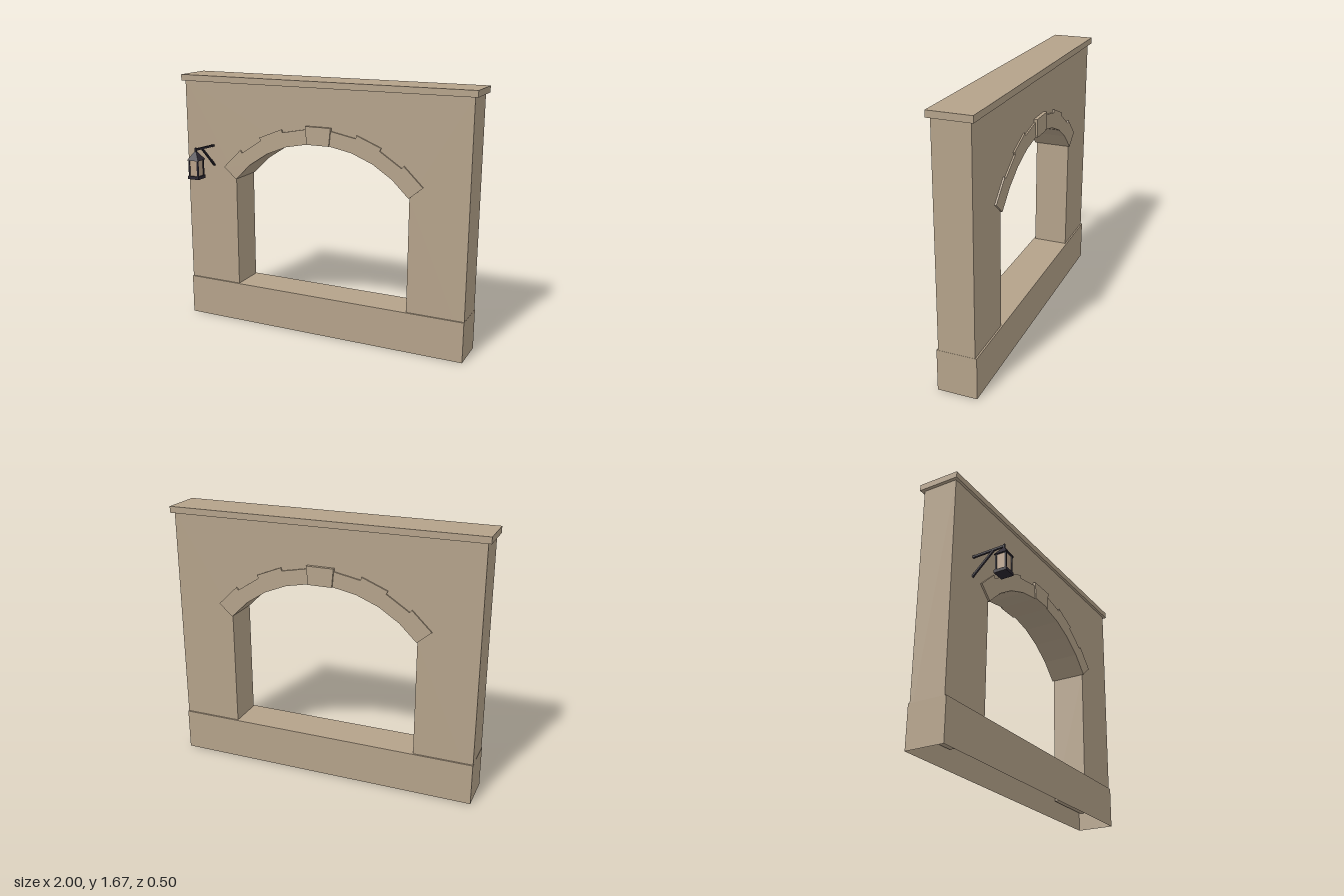
import * as THREE from 'three';

const stone = new THREE.MeshStandardMaterial({ color: 0xb4a28a, side: THREE.DoubleSide });
stone.name = 'sandstone';
const iron = new THREE.MeshStandardMaterial({ color: 0x2c2731 });
iron.name = 'dark iron';
const glass = new THREE.MeshStandardMaterial({ color: 0xb8a088 });
glass.name = 'lantern glass';

// Arch: circle through both springing points and the crown, cut into nine stones
const RADIUS = 0.794, CENTRE_Y = 0.486, STONES = 9;
const HALF = Math.asin(0.605 / RADIUS);
const STEP = (2 * HALF) / STONES;
const polar = (r, a) => new THREE.Vector2(r * Math.sin(a), CENTRE_Y + r * Math.cos(a));

function add(parent, name, geometry, material, x = 0, y = 0, z = 0) {
  const mesh = new THREE.Mesh(geometry, material);
  mesh.name = name;
  mesh.position.set(x, y, z);
  parent.add(mesh);
  return mesh;
}

function box(parent, name, material, x0, x1, y0, y1, z0, z1) {
  return add(parent, name, new THREE.BoxGeometry(x1 - x0, y1 - y0, z1 - z0), material,
    (x0 + x1) / 2, (y0 + y1) / 2, (z0 + z1) / 2);
}

function slab(parent, name, points, z0, z1) {
  const geometry = new THREE.ExtrudeGeometry(new THREE.Shape(points), { depth: z1 - z0, bevelEnabled: false });
  return add(parent, name, geometry, stone, 0, 0, z0);
}

// Square bar running from a to b
function bar(parent, name, a, b, width) {
  const mesh = add(parent, name, new THREE.BoxGeometry(width, width, a.distanceTo(b)), iron);
  mesh.position.copy(a).lerp(b, 0.5);
  mesh.lookAt(b);
  return mesh;
}

function buildLantern() {
  const lantern = new THREE.Group();
  lantern.name = 'lantern';
  const x = -0.775, z = 0.21;

  box(lantern, 'lanternBase', iron, x - 0.041, x + 0.041, 1.03, 1.05, z - 0.041, z + 0.041);
  box(lantern, 'lanternPanes', glass, x - 0.031, x + 0.031, 1.05, 1.152, z - 0.031, z + 0.031);
  for (const sx of [-1, 1]) {
    for (const sz of [-1, 1]) {
      add(lantern, 'lanternPost', new THREE.BoxGeometry(0.01, 0.106, 0.01), iron,
        x + sx * 0.031, 1.101, z + sz * 0.031);
    }
  }

  // Four-sided roof and its finial
  const roof = new THREE.CylinderGeometry(0.01, 0.06, 0.053, 4).toNonIndexed();
  roof.computeVertexNormals();
  roof.rotateY(Math.PI / 4);
  add(lantern, 'lanternRoof', roof, iron, x, 1.1785, z);
  box(lantern, 'lanternFinial', iron, x - 0.006, x + 0.006, 1.2, 1.23, z - 0.006, z + 0.006);

  // Wall bracket
  const at = (y, pz) => new THREE.Vector3(x, y, pz);
  bar(lantern, 'bracketArm', at(1.21, -0.005), at(1.219, 0.215), 0.013);
  bar(lantern, 'bracketBrace', at(1.077, -0.005), at(1.213, 0.138), 0.012);
  return lantern;
}

export function createModel() {
  const model = new THREE.Group();
  model.name = 'archedWall';

  // Wall with a faceted arched opening
  const outline = [
    new THREE.Vector2(-0.605, 0.12), new THREE.Vector2(-0.979, 0.12),
    new THREE.Vector2(-0.979, 1.64), new THREE.Vector2(0.979, 1.64),
    new THREE.Vector2(0.979, 0.12), new THREE.Vector2(0.605, 0.12),
  ];
  for (let i = 0; i <= STONES; i++) outline.push(polar(RADIUS, HALF - i * STEP));
  slab(model, 'wall', outline, -0.23, -0.003);

  // Plinth, hollow and open underneath
  const plinth = box(model, 'plinth', stone, -0.98, 0.98, 0, 0.265, -0.24, 0.007);
  const bottom = plinth.geometry.groups[3];
  const faces = Array.from(plinth.geometry.index.array);
  faces.splice(bottom.start, bottom.count);
  plinth.geometry.setIndex(faces);
  plinth.geometry.clearGroups();

  // Coping
  box(model, 'coping', stone, -1, 1, 1.63, 1.67, -0.25, 0.015);

  // Arch stones, alternately tall and short, with a prouder keystone
  const middle = (STONES - 1) / 2;
  for (let i = 0; i < STONES; i++) {
    const key = i === middle;
    const a = -HALF + i * STEP, b = a + STEP;
    const outer = (i - middle) % 2 === 0 ? 0.908 : 0.887;
    const inner = RADIUS - 0.002;
    const points = [polar(inner, a), polar(outer, a), polar(outer, b), polar(inner, b)];
    slab(model, key ? 'keystone' : 'archStone', points, key ? -0.252 : -0.24, key ? 0.017 : 0.008);
  }

  model.add(buildLantern());
  return model;
}
